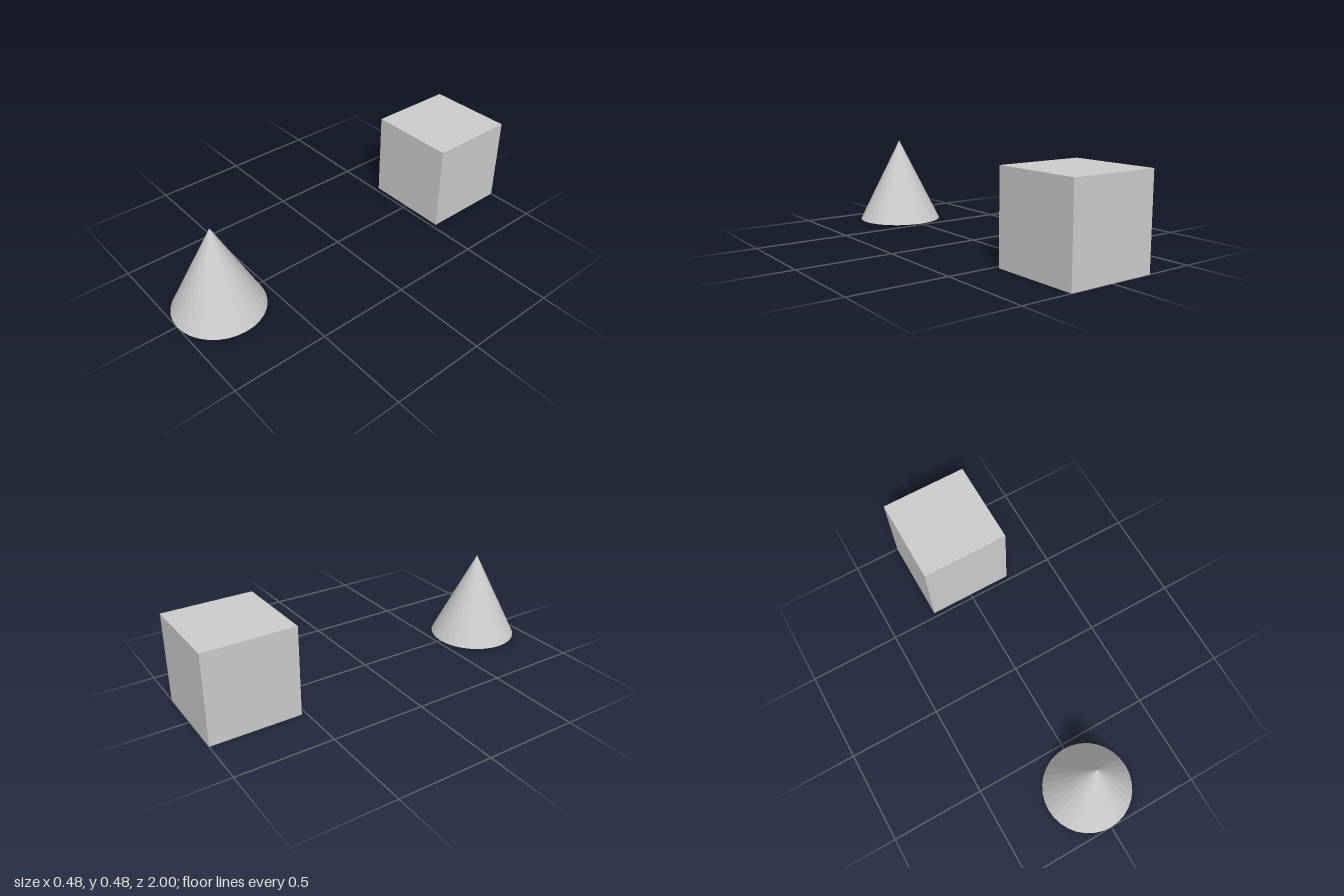
import * as THREE from 'three';

const SIZE = 0.476; // shared width, height and depth of both solids

export function createModel() {
  const group = new THREE.Group();
  const material = new THREE.MeshStandardMaterial({ color: 0xcccccc, flatShading: true });

  // Place a solid on the ground at a given depth
  const add = (name, geometry, z) => {
    const mesh = new THREE.Mesh(geometry, material);
    mesh.name = name;
    mesh.position.set(0, SIZE / 2, z);
    group.add(mesh);
  };

  const offset = 1 - SIZE / 2;

  // Faceted cone at the front
  add('cone', new THREE.ConeGeometry(SIZE / 2, SIZE, 32), offset);

  // Cube at the back
  add('cube', new THREE.BoxGeometry(SIZE, SIZE, SIZE), -offset);

  return group;
}
